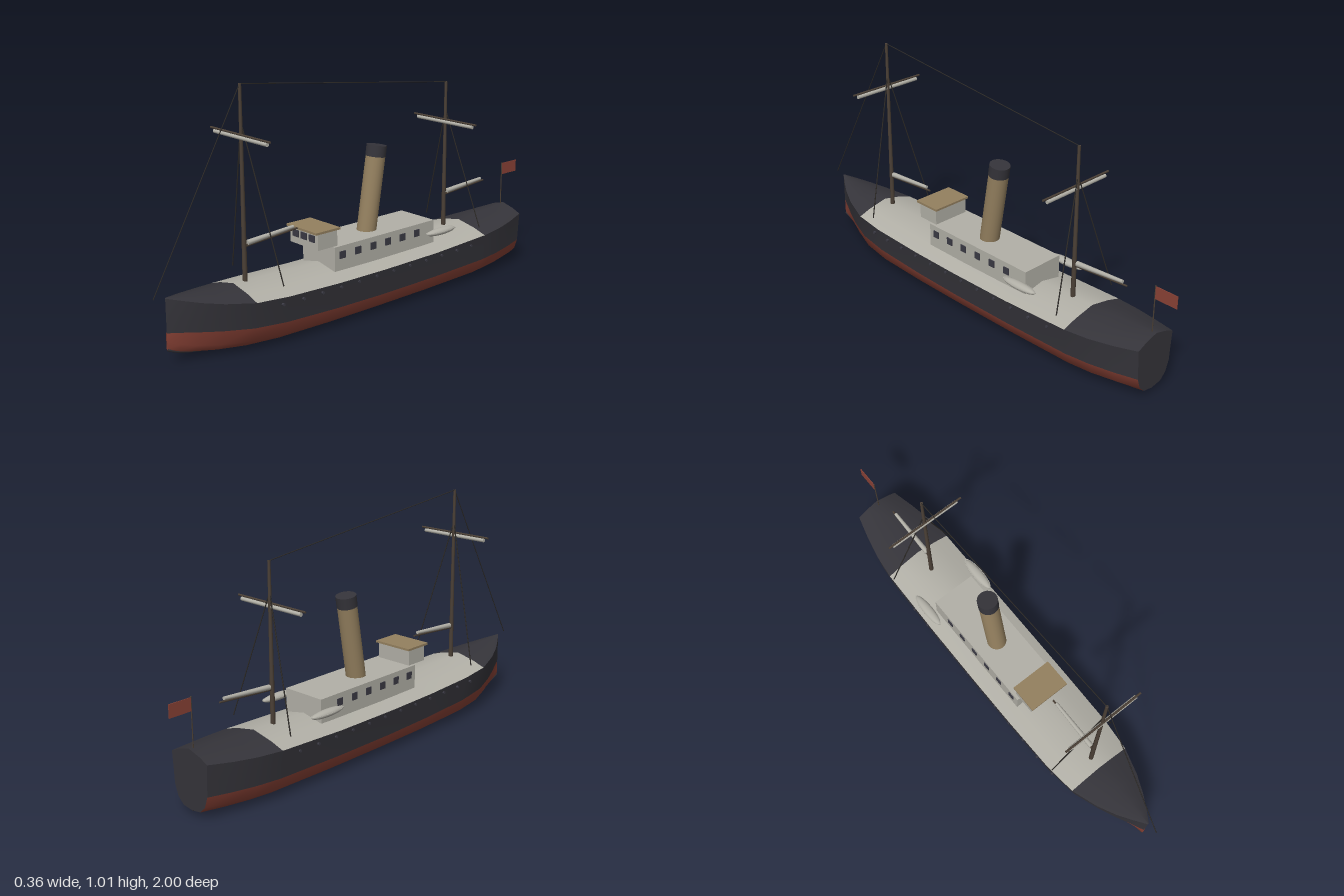
import * as THREE from 'three';

const material = (name, color, side = THREE.FrontSide) => {
  const m = new THREE.MeshStandardMaterial({ color, side });
  m.name = name;
  return m;
};

export function createModel() {
  const ship = new THREE.Group();
  ship.name = 'steamship';
  const black = material('hullBlack', 0x35343a);
  const red = material('hullRed', 0x8a4236, THREE.DoubleSide);
  const grey = material('paleGrey', 0xb2b0a7);
  const tan = material('funnelTan', 0x94805f);
  const wood = material('mastWood', 0x4b4036);
  const rope = material('rope', 0x2e2b28);
  const glass = material('windowGlass', 0x3b3a44);

  const add = (name, geometry, mat, x = 0, y = 0, z = 0) => {
    const mesh = new THREE.Mesh(geometry, mat);
    mesh.name = name;
    mesh.position.set(x, y, z);
    ship.add(mesh);
    return mesh;
  };
  const box = (name, w, h, d, mat, x, y, z) => add(name, new THREE.BoxGeometry(w, h, d), mat, x, y, z);
  // Round bar between two points
  const rod = (name, a, b, r0, r1, mat, sides = 10) => {
    const from = new THREE.Vector3(...a), to = new THREE.Vector3(...b);
    const dir = to.clone().sub(from);
    const mesh = add(name, new THREE.CylinderGeometry(r1, r0, dir.length(), sides), mat);
    mesh.position.copy(from).add(to).multiplyScalar(0.5);
    mesh.quaternion.setFromUnitVectors(new THREE.Vector3(0, 1, 0), dir.normalize());
    return mesh;
  };
  // Surface through rows of points, rows running from bow to stern
  const skin = (name, rows, mat) => {
    const n = rows[0].length, index = [];
    for (let i = 0; i < rows.length - 1; i++) {
      for (let j = 0; j < n - 1; j++) {
        const a = i * n + j, b = a + 1, c = a + n, d = c + 1;
        index.push(a, b, c, b, d, c);
      }
    }
    const g = new THREE.BufferGeometry();
    g.setAttribute('position', new THREE.Float32BufferAttribute(rows.flat(2), 3));
    g.setIndex(index);
    g.computeVertexNormals();
    return add(name, g, mat);
  };

  // Hull stations: z, half width, sheer, ridge, paint line, bottom, and width factors low down
  const stations = [
    [0.95, 0.003, 0.264, 0.266, 0.130, 0.062, 1.00, 1.00, 1.00],
    [0.90, 0.036, 0.252, 0.263, 0.125, 0.042, 0.70, 0.45, 0.25],
    [0.84, 0.072, 0.238, 0.259, 0.119, 0.027, 0.76, 0.52, 0.30],
    [0.76, 0.109, 0.223, 0.254, 0.111, 0.016, 0.82, 0.62, 0.38],
    [0.645, 0.146, 0.208, 0.247, 0.102, 0.009, 0.88, 0.73, 0.48],
    [0.50, 0.160, 0.201, 0.242, 0.094, 0.006, 0.91, 0.80, 0.56],
    [0.25, 0.164, 0.194, 0.236, 0.086, 0.005, 0.92, 0.83, 0.60],
    [0.00, 0.165, 0.192, 0.233, 0.082, 0.004, 0.92, 0.83, 0.60],
    [-0.30, 0.164, 0.194, 0.236, 0.083, 0.005, 0.92, 0.83, 0.60],
    [-0.61, 0.160, 0.205, 0.245, 0.089, 0.006, 0.92, 0.81, 0.56],
    [-0.72, 0.148, 0.211, 0.251, 0.093, 0.009, 0.92, 0.80, 0.53],
    [-0.82, 0.127, 0.219, 0.257, 0.097, 0.014, 0.92, 0.78, 0.50],
    [-0.92, 0.100, 0.230, 0.265, 0.102, 0.022, 0.92, 0.76, 0.48],
  ];
  const topside = ([z, w, sheer, , line, , kw]) =>
    [[w, sheer, z], [w * (0.45 + 0.55 * kw), (sheer + line) / 2, z], [w * kw, line, z]];
  const bilge = ([z, w, , , line, low, kw, kb, kc]) =>
    [[w * kw, line, z], [w * kb, low + 0.034, z], [w * kc, low + 0.007, z], [0, low, z]];
  const flip = (pts) => pts.map(([x, y, z]) => [-x, y, z]).reverse();
  const deck = ([z, w, sheer, ridge]) =>
    [-1, -0.6, 0, 0.6, 1].map((u) => [u * w, ridge - (ridge - sheer) * Math.abs(u) ** 1.4, z]);

  skin('leftTopside', stations.map(topside), black);
  skin('rightTopside', stations.map((s) => flip(topside(s))), black);
  skin('underwaterHull', stations.map((s) => [...bilge(s), ...flip(bilge(s)).slice(1)]), red);
  skin('foreDeck', stations.slice(0, 5).map(deck), black);
  skin('mainDeck', stations.slice(4, 10).map(deck), grey);
  skin('aftDeck', stations.slice(9).map(deck), black);

  // Flat stern
  const last = stations[stations.length - 1];
  const half = [...topside(last), ...bilge(last).slice(1)];
  const outline = [...half, ...flip(half).slice(1), ...deck(last).slice(1, 4)];
  const transom = new THREE.ShapeGeometry(new THREE.Shape(outline.map(([x, y]) => new THREE.Vector2(x, y))));
  add('transom', transom.rotateY(Math.PI), black, 0, 0, last[0]);

  // Keel bar
  const keelPath = new THREE.CatmullRomCurve3(
    stations.map((s) => new THREE.Vector3(0, s[5] + 0.002, s[0])));
  add('keel', new THREE.TubeGeometry(keelPath, 40, 0.006, 6), black);

  // Portholes along both sides
  for (const side of [-1, 1]) {
    for (let i = 0; i < 12; i++) {
      const z = 0.53 - i * 0.0955;
      const g = new THREE.CylinderGeometry(0.006, 0.006, 0.012, 8).rotateZ(Math.PI / 2);
      add('porthole', g, glass, side * (Math.abs(z) > 0.5 ? 0.157 : 0.162), 0.176, z);
    }
  }

  // Deckhouse and bridge
  box('deckhouse', 0.196, 0.117, 0.565, grey, 0, 0.2585, -0.0625);
  for (const side of [-1, 1]) {
    for (let i = 0; i < 6; i++) {
      box('deckhouseWindow', 0.006, 0.03, 0.03, glass, side * 0.099, 0.28, 0.18 - i * 0.084);
    }
  }
  box('bridge', 0.17, 0.068, 0.1, grey, 0, 0.351, 0.245);
  box('bridgeRoof', 0.184, 0.009, 0.125, tan, 0, 0.389, 0.2475);
  for (const x of [-0.05, 0, 0.05]) box('bridgeWindow', 0.034, 0.028, 0.006, glass, x, 0.36, 0.296);

  // Raked funnel with a dark top
  rod('funnel', [0, 0.3, -0.04], [0, 0.63, -0.094], 0.0415, 0.0415, tan, 20);
  rod('funnelTop', [0, 0.622, -0.0925], [0, 0.669, -0.1], 0.043, 0.043, black, 20);

  // Masts with yards, booms, furled sails and shrouds
  const masts = [
    { z: 0.59, top: 1.005, yard: 0.815, shroud: 0.865 },
    { z: -0.51, top: 0.885, yard: 0.72, shroud: 0.765 },
  ];
  for (const { z, top, yard, shroud } of masts) {
    rod('mast', [0, 0.22, z], [0, top, z], 0.01, 0.006, wood);
    rod('yard', [-0.182, yard, z + 0.006], [0.182, yard, z + 0.006], 0.0045, 0.0045, wood, 8);
    rod('furledYardSail', [-0.162, yard - 0.012, z + 0.004], [0.162, yard - 0.012, z + 0.004], 0.008, 0.008, grey);
    rod('boom', [0, 0.382, z - 0.005], [0, 0.4, z - 0.26], 0.006, 0.004, wood, 8);
    rod('furledBoomSail', [0, 0.393, z - 0.015], [0, 0.41, z - 0.24], 0.011, 0.007, grey);
    for (const side of [-1, 1]) {
      rod('shroud', [0, shroud, z], [side * 0.161, 0.25, z - 0.06], 0.0025, 0.0025, rope, 6);
    }
  }
  rod('topStay', [0, 1.004, 0.59], [0, 0.884, -0.51], 0.002, 0.002, rope, 6);
  rod('foreStay', [0, 1.004, 0.59], [0, 0.27, 0.998], 0.002, 0.002, rope, 6);

  // Lifeboats
  for (const side of [-1, 1]) {
    const hull = new THREE.SphereGeometry(1, 18, 12).scale(0.021, 0.015, 0.086);
    add('lifeboat', hull, grey, side * 0.137, 0.275, -0.35);
    const rim = new THREE.CylinderGeometry(1, 1, 0.003, 18).scale(0.023, 1, 0.088);
    add('lifeboatRim', rim, grey, side * 0.137, 0.277, -0.35);
  }

  // Stern flag
  rod('flagpole', [0, 0.25, -0.9], [0, 0.46, -0.9], 0.0025, 0.0025, wood, 6);
  box('flag', 0.003, 0.053, 0.1, red, 0, 0.43, -0.95);

  return ship;
}
